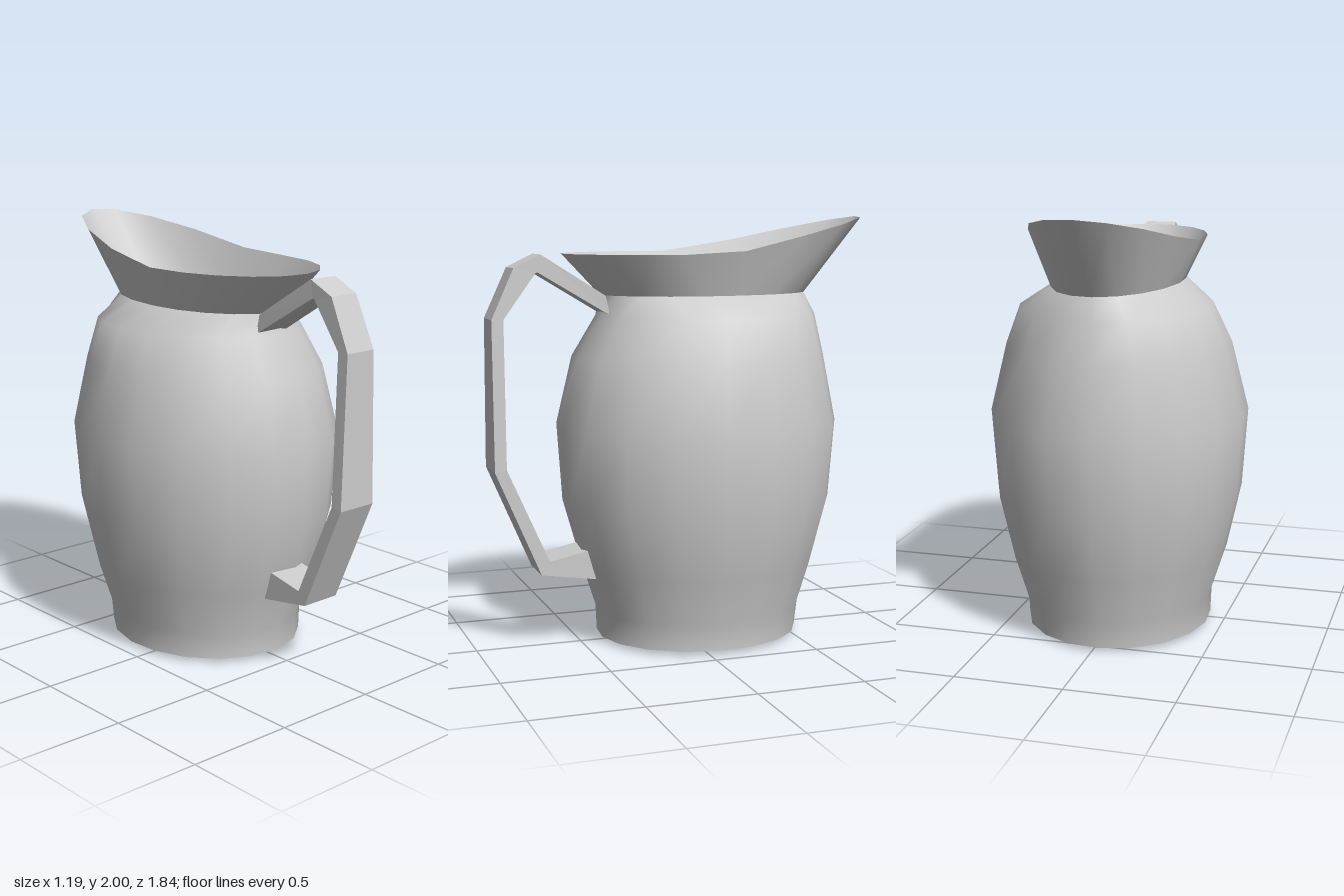
import * as THREE from 'three';

const SEGMENTS = 18;
const TURN = 0.08; // slight twist of the ring vertices

// Egg-shaped ring: half width rx, widest at z = mid, reaching from zBack to zFront
function ring(y, rx, zFront, zBack, mid = (zFront + zBack) / 2) {
  const points = [];
  for (let i = 0; i < SEGMENTS; i++) {
    const a = TURN + (i / SEGMENTS) * Math.PI * 2;
    const c = Math.cos(a);
    const z = mid + c * (c > 0 ? zFront - mid : mid - zBack);
    points.push([rx * Math.sin(a), typeof y === 'function' ? y(z) : y, z]);
  }
  return points;
}

function makeGeometry(points, index) {
  const g = new THREE.BufferGeometry();
  g.setAttribute('position', new THREE.Float32BufferAttribute(points.flat(), 3));
  g.setIndex(index);
  return g;
}

// Skin closed rings of equal length, listed from bottom to top
function loft(rings) {
  const n = rings[0].length, index = [];
  for (let r = 0; r < rings.length - 1; r++) {
    for (let i = 0; i < n; i++) {
      const j = (i + 1) % n, a = r * n, b = a + n;
      index.push(a + i, a + j, b + j, a + i, b + j, b + i);
    }
  }
  return makeGeometry(rings.flat(), index);
}

// Fan from a centre point to a ring
function cap(points, centre, up) {
  const n = points.length, index = [];
  for (let i = 0; i < n; i++) {
    const j = (i + 1) % n;
    index.push(n, up ? i : j, up ? j : i);
  }
  return makeGeometry([...points, centre], index);
}

export function createModel() {
  const model = new THREE.Group();
  model.name = 'pitcher';
  const grey = new THREE.MeshStandardMaterial({ color: 0xcccccc, side: THREE.DoubleSide });
  grey.name = 'plain grey';

  const add = (name, geometry, flat = false) => {
    const g = flat ? geometry.toNonIndexed() : geometry;
    g.computeVertexNormals();
    const mesh = new THREE.Mesh(g, grey);
    mesh.name = name;
    model.add(mesh);
  };

  // Bellied body, from foot to neck
  const neck = ring(1.64, 0.29, 0.39, -0.62, -0.06);
  const foot = ring(0.02, 0.435, 0.405, -0.57);
  add('body', loft([
    foot,
    ring(0.14, 0.44, 0.41, -0.585),
    ring(0.36, 0.51, 0.48, -0.65),
    ring(0.66, 0.575, 0.565, -0.73),
    ring(1.03, 0.6, 0.59, -0.76),
    ring(1.35, 0.52, 0.515, -0.7),
    ring(1.54, 0.44, 0.4, -0.66),
    neck,
  ]));
  add('base', cap(foot, [0, 0, -0.08], false));

  // Flared collar that rises into the spout, running down inside to a flat floor
  const rimHeight = (z) => 1.83 + Math.max(0, -0.13 - z) * (0.17 / 0.79);
  const floor = ring(1.5, 0.195, 0.24, -0.49, -0.05);
  add('throat', loft([floor, neck]));
  add('spout', loft([neck, ring(rimHeight, 0.365, 0.57, -0.92, 0.05)]));
  add('innerFloor', cap(floor, [0, 1.5, -0.1], true));

  // Angular handle: outer z, outer y, inner z, inner y, half width
  const sections = [
    [0.39, 1.64, 0.37, 1.55, 0.09],
    [0.69, 1.83, 0.705, 1.75, 0.075],
    [0.815, 1.77, 0.715, 1.745, 0.075],
    [0.92, 1.54, 0.865, 1.54, 0.08],
    [0.92, 0.85, 0.865, 0.86, 0.1],
    [0.71, 0.36, 0.67, 0.42, 0.1],
    [0.45, 0.32, 0.48, 0.46, 0.1],
  ].map(([zo, yo, zi, yi, w]) => [[-w, yo, zo], [w, yo, zo], [w, yi, zi], [-w, yi, zi]]);
  add('handle', loft(sections.reverse()), true);

  return model;
}
